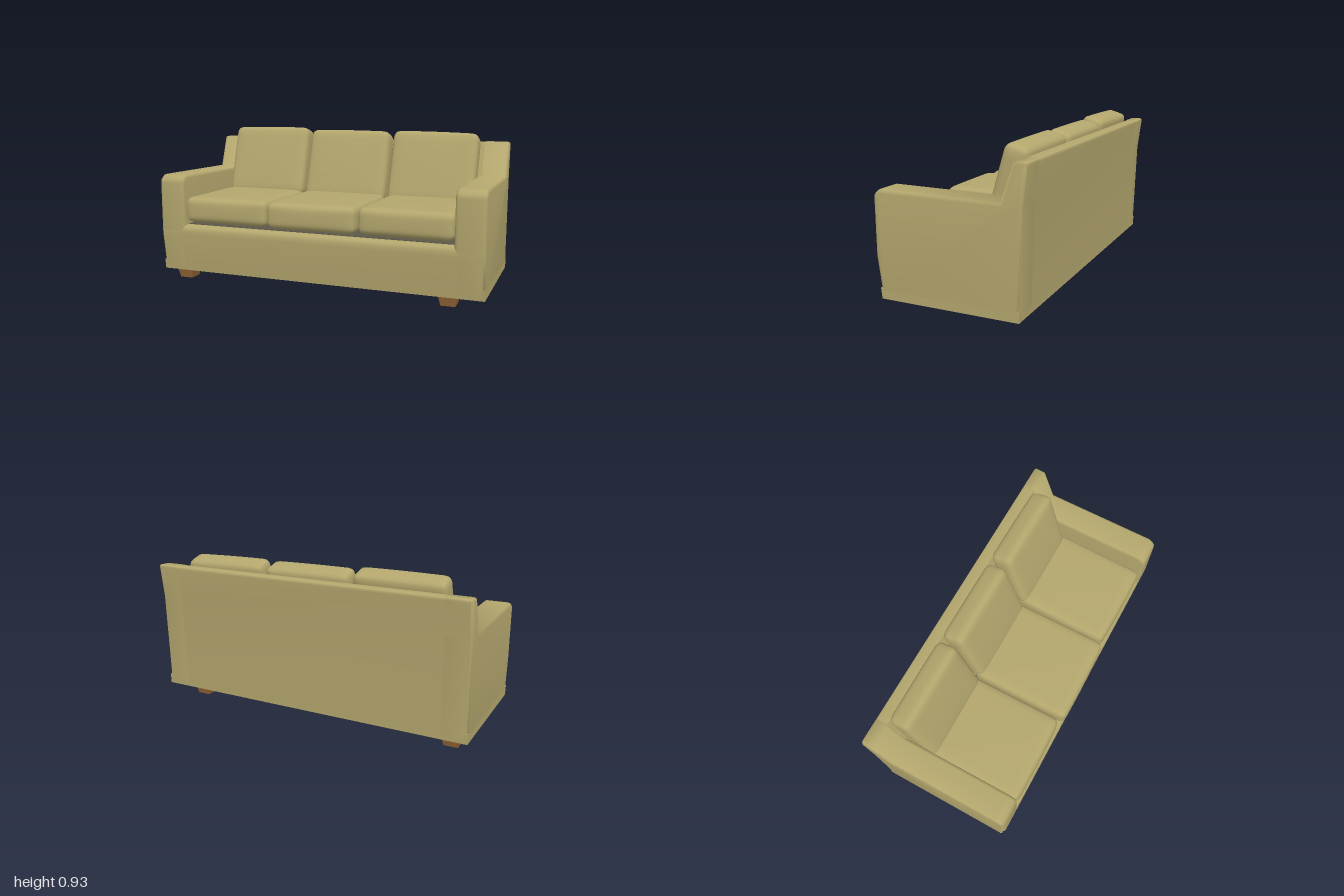
import * as THREE from 'three';
import { mergeVertices, toCreasedNormals } from 'three/addons/utils/BufferGeometryUtils.js';

const fabric = new THREE.MeshStandardMaterial({ color: 0xb3a66d });
const wood = new THREE.MeshStandardMaterial({ color: 0x936435 });
const lining = new THREE.MeshStandardMaterial({ color: 0x5c5848 });

// Side outline given as (z, y), swept along x with a soft edge
function sweepProfile(shape, width, bevel, crease) {
  const geo = new THREE.ExtrudeGeometry(shape, {
    depth: width - 2 * bevel, curveSegments: 6, bevelEnabled: bevel > 0,
    bevelSize: bevel, bevelThickness: bevel, bevelOffset: -bevel, bevelSegments: 3,
  });
  geo.translate(0, 0, -(width - 2 * bevel) / 2);
  geo.rotateY(-Math.PI / 2);
  return toCreasedNormals(geo, crease);
}

// Top and rear of the backrest, shared by the arms and the body
function backrest(shape, grow) {
  shape.lineTo(-0.37 + grow, 0.855 + grow);
  shape.lineTo(-0.43, 0.857 + grow);
  shape.quadraticCurveTo(-0.442, 0.857 + grow, -0.441, 0.84);
  shape.lineTo(-0.417, 0.65);
}

function armShape() {
  const s = new THREE.Shape();
  s.moveTo(0.404, 0.095);
  s.lineTo(0.43, 0.30);
  s.lineTo(0.43, 0.61);
  s.quadraticCurveTo(0.43, 0.635, 0.41, 0.648);
  s.quadraticCurveTo(0.395, 0.662, 0.375, 0.662);
  s.lineTo(-0.298, 0.657);
  backrest(s, 0.002);
  s.lineTo(-0.401, 0.095);
  return s;
}

// Seat box and backrest in one outline, hollowed below
function bodyShape() {
  const s = new THREE.Shape();
  s.moveTo(0.40, 0.065);
  s.lineTo(0.43, 0.30);
  s.lineTo(0.43, 0.315);
  s.quadraticCurveTo(0.43, 0.355, 0.39, 0.355);
  s.lineTo(-0.195, 0.355);
  backrest(s, 0);
  for (const [z, y] of [[-0.40, 0.065], [-0.382, 0.065], [-0.382, 0.097], [0.382, 0.097], [0.382, 0.065]])
    s.lineTo(z, y);
  return s;
}

// Lower edge of the outer side, closing the hollow
function skirtShape() {
  return new THREE.Shape([[0.40, 0.065], [0.4077, 0.125], [-0.4017, 0.125], [-0.40, 0.065]]
    .map(([z, y]) => new THREE.Vector2(z, y)));
}

// Rounded, slightly puffed box; puff = bulge along x, y, z
function cushionGeometry(size, radius, puff) {
  let geo = new THREE.BoxGeometry(2, 2, 2, 16, 16, 16);
  geo.deleteAttribute('uv');
  geo.deleteAttribute('normal');
  geo = mergeVertices(geo);
  const pos = geo.attributes.position;
  const half = size.map((d) => d / 2);
  const limit = new THREE.Vector3(...half.map((h) => h - radius));
  for (let i = 0; i < pos.count; i++) {
    // crowd the grid towards the edges so the rounding is smooth
    const p = new THREE.Vector3(...half.map((h, k) => Math.sin(pos.getComponent(i, k) * Math.PI / 2) * h));
    const inner = p.clone().clamp(limit.clone().negate(), limit);
    p.sub(inner).setLength(radius).add(inner);
    const n = [p.x / half[0], p.y / half[1], p.z / half[2]];
    const f = n.map((t) => 1 - t * t);
    p.x += n[0] * puff[0] * f[1] * f[2];
    p.y += n[1] * puff[1] * f[0] * f[2];
    p.z += n[2] * puff[2] * f[0] * f[1];
    pos.setXYZ(i, p.x, p.y, p.z);
  }
  geo.computeVertexNormals();
  return geo;
}

export function createModel() {
  const model = new THREE.Group();
  const add = (name, geo, mat, x, y, z) => {
    const mesh = new THREE.Mesh(geo, mat);
    mesh.name = name;
    mesh.position.set(x, y, z);
    model.add(mesh);
    return mesh;
  };

  // Base with backrest, running into both arms
  add('seatBaseAndBack', sweepProfile(bodyShape(), 1.97, 0, 0.6), fabric, 0, 0, 0);
  const arm = sweepProfile(armShape(), 0.167, 0.02, 1.3);
  const skirt = sweepProfile(skirtShape(), 0.02, 0, 0.6);
  for (const [side, sign] of [['left', 1], ['right', -1]]) {
    add(side + 'Arm', arm, fabric, sign * 0.9165, 0, 0);
    add(side + 'Skirt', skirt, fabric, sign * 0.9895, 0, 0);
  }

  // Dark deck under the cushions and recessed wooden underside
  add('seatDeck', new THREE.BoxGeometry(1.66, 0.01, 0.58), lining, 0, 0.354, 0.09);
  add('undersidePanel', new THREE.BoxGeometry(1.958, 0.01, 0.764), wood, 0, 0.097, 0);

  // Cushions, each set slightly differently
  const seat = cushionGeometry([0.545, 0.155, 0.62], 0.04, [0.003, 0.006, 0.006]);
  const back = cushionGeometry([0.535, 0.455, 0.142], 0.04, [0.004, 0.005, 0.007]);
  const places = [
    { name: 'right', x: -0.562, seatZ: 0.108, turn: 0.012, lift: 0.003, roll: 0.006 },
    { name: 'middle', x: -0.002, seatZ: 0.124, turn: 0.012, lift: -0.01, roll: -0.005 },
    { name: 'left', x: 0.559, seatZ: 0.106, turn: -0.012, lift: -0.01, roll: -0.018 },
  ];
  for (const p of places) {
    add(p.name + 'SeatCushion', seat, fabric, p.x, 0.45, p.seatZ).rotation.y = p.turn;
    const b = add(p.name + 'BackCushion', back, fabric, p.x, 0.698 + p.lift, -0.245);
    b.rotation.set(-0.29, 0, p.roll);
  }

  // Tapered square legs reaching up to the recessed panel
  const leg = new THREE.CylinderGeometry(0.062 * Math.SQRT2, 0.041 * Math.SQRT2, 0.096, 4, 1);
  leg.rotateY(Math.PI / 4);
  const legGeo = toCreasedNormals(leg, 0.3);
  for (const [side, x] of [['right', -0.888], ['left', 0.791]])
    for (const [end, z] of [['Front', 0.303], ['Back', -0.288]])
      add(side + end + 'Leg', legGeo, wood, x, 0.048, z);

  return model;
}
